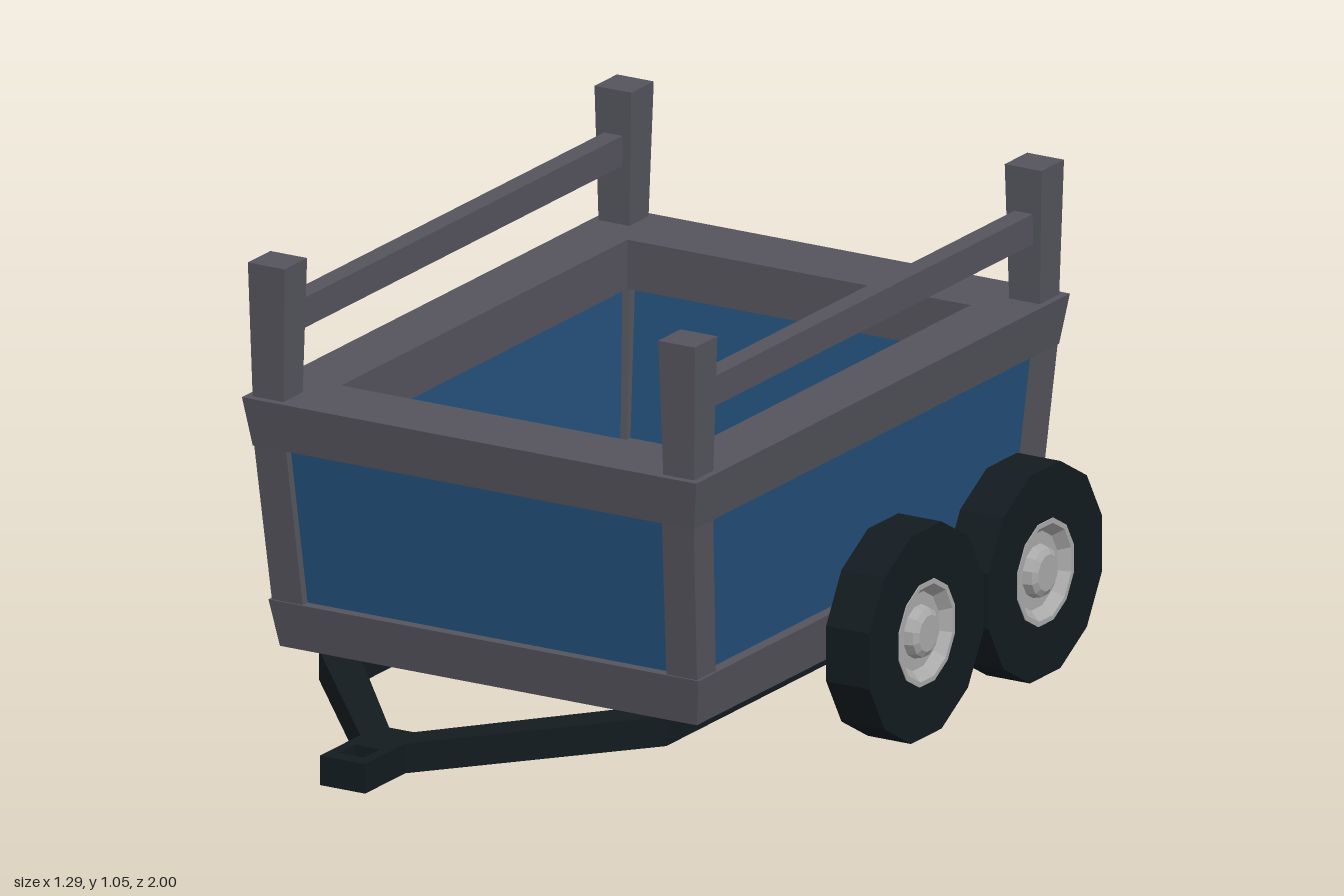
import * as THREE from 'three';

const mat = (color) => new THREE.MeshStandardMaterial({ color, flatShading: true });
const CZ = -0.2525; // centre of the tub along z
const CORNERS = [[1, 1], [1, -1], [-1, -1], [-1, 1]];

// Rectangular ring: a closed section of [halfX, halfZ, y] carried round four corners
function ringGeometry(section) {
  const pos = [];
  const point = (i, k) => {
    const [x, z, y] = section[i % section.length];
    const [sx, sz] = CORNERS[k % 4];
    return [x * sx, y, z * sz];
  };
  for (let i = 0; i < section.length; i++) {
    for (let k = 0; k < 4; k++) {
      const a = point(i, k), b = point(i, k + 1), c = point(i + 1, k + 1), d = point(i + 1, k);
      pos.push(...a, ...b, ...c, ...a, ...c, ...d);
    }
  }
  const g = new THREE.BufferGeometry();
  g.setAttribute('position', new THREE.Float32BufferAttribute(pos, 3));
  g.computeVertexNormals();
  return g;
}

// Box whose bottom and top rectangles differ: [x0, x1, z0, z1]
function taperedBox(y0, bottom, y1, top) {
  const g = new THREE.BoxGeometry(1, 1, 1);
  const p = g.attributes.position;
  for (let i = 0; i < p.count; i++) {
    const up = p.getY(i) > 0;
    const r = up ? top : bottom;
    p.setXYZ(i, p.getX(i) > 0 ? r[1] : r[0], up ? y1 : y0, p.getZ(i) > 0 ? r[3] : r[2]);
  }
  const flat = g.toNonIndexed();
  flat.computeVertexNormals();
  return flat;
}

export function createModel() {
  const model = new THREE.Group();
  const frameMat = mat(0x55545d);
  const panelMat = mat(0x24507a);
  const darkMat = mat(0x131b20);
  const hubMat = mat(0xaaaaaa);

  const add = (name, geometry, material, parent = model) => {
    const m = new THREE.Mesh(geometry, material);
    m.name = name;
    parent.add(m);
    return m;
  };

  // Tub: solid base, sloping panels, heavy top rim
  const tub = new THREE.Group();
  tub.name = 'tub';
  tub.position.z = CZ;
  model.add(tub);
  add('base', taperedBox(0.2, [-0.51, 0.51, -0.67, 0.67], 0.305, [-0.526, 0.526, -0.69, 0.69]), frameMat, tub);
  add('sidePanels', ringGeometry([
    [0.5, 0.665, 0.3], [0.52, 0.71, 0.66], [0.48, 0.67, 0.66], [0.46, 0.625, 0.3],
  ]), panelMat, tub);
  add('topRim', ringGeometry([
    [0.54, 0.73, 0.652], [0.556, 0.747, 0.76], [0.42, 0.572, 0.76], [0.42, 0.572, 0.652],
  ]), frameMat, tub);

  // Corner posts below and above the rim
  const cornerBox = (sx, sz, y0, b, y1, t) => {
    const rect = ([xi, xo, zi, zo]) => [
      Math.min(sx * xi, sx * xo), Math.max(sx * xi, sx * xo),
      Math.min(sz * zi, sz * zo), Math.max(sz * zi, sz * zo),
    ];
    return taperedBox(y0, rect(b), y1, rect(t));
  };
  for (const [sx, sz] of CORNERS) {
    add('cornerPost', cornerBox(sx, sz, 0.3, [0.445, 0.52, 0.61, 0.685], 0.655, [0.46, 0.538, 0.65, 0.728]), frameMat, tub);
    add('upperPost', cornerBox(sx, sz, 0.755, [0.465, 0.54, 0.653, 0.73], 1.055, [0.457, 0.547, 0.648, 0.738]), frameMat, tub);
  }

  // Hand rails
  for (const s of [-1, 1]) {
    const rail = add('handRail', new THREE.BoxGeometry(0.045, 0.066, 1.32), frameMat, tub);
    rail.position.set(s * 0.502, 0.923, 0);
  }

  // Drawbar: V arms, chassis rails and a tongue with a square eye, in plan
  const half = [[0.055, 1], [0.055, 0.84], [0.425, 0.4], [0.425, -0.29], [0.34, -0.29], [0.34, 0.378], [0.03, 0.765]];
  const mirrored = half.map(([x, z]) => [-x, z]).reverse();
  const plan = new THREE.Shape([...half, ...mirrored].map(([x, z]) => new THREE.Vector2(x, z)));
  plan.holes.push(new THREE.Path([[-0.03, 0.9], [0.03, 0.9], [0.03, 0.965], [-0.03, 0.965]]
    .map(([x, z]) => new THREE.Vector2(x, z))));
  const drawbar = new THREE.ExtrudeGeometry(plan, { depth: 0.065, bevelEnabled: false });
  drawbar.rotateX(Math.PI / 2);
  add('drawbar', drawbar, darkMat).position.y = 0.2;

  // Axles: one full width at the rear, stubs at the front
  const axle = (name, length, x, z) => {
    const m = add(name, new THREE.CylinderGeometry(0.072, 0.072, length, 12), panelMat);
    m.rotation.z = Math.PI / 2;
    m.position.set(x, 0.23, z);
  };
  axle('rearAxle', 1.1, 0, -0.765);
  for (const s of [-1, 1]) axle('frontAxleStub', 0.14, s * 0.48, -0.29);

  // Wheels: twelve-sided tyre with a dished hub on the outside
  const lathe = (pts) => new THREE.LatheGeometry(pts.map(([r, y]) => new THREE.Vector2(r, y)), 12, Math.PI / 12);
  const tyre = lathe([[0, -0.053], [0.2355, -0.053], [0.2355, 0.053], [0.115, 0.053], [0.115, 0.03]]);
  const hub = lathe([[0.116, 0.03], [0.116, 0.055], [0.105, 0.055], [0.085, 0.032], [0.058, 0.032],
    [0.053, 0.052], [0.04, 0.06], [0, 0.06]]);
  for (const s of [-1, 1]) {
    for (const z of [-0.29, -0.765]) {
      const wheel = new THREE.Group();
      wheel.name = 'wheel';
      wheel.position.set(s * 0.586, 0.2275, z);
      wheel.rotation.z = -s * Math.PI / 2;
      add('tyre', tyre, darkMat, wheel);
      add('hub', hub, hubMat, wheel);
      model.add(wheel);
    }
  }
  return model;
}
